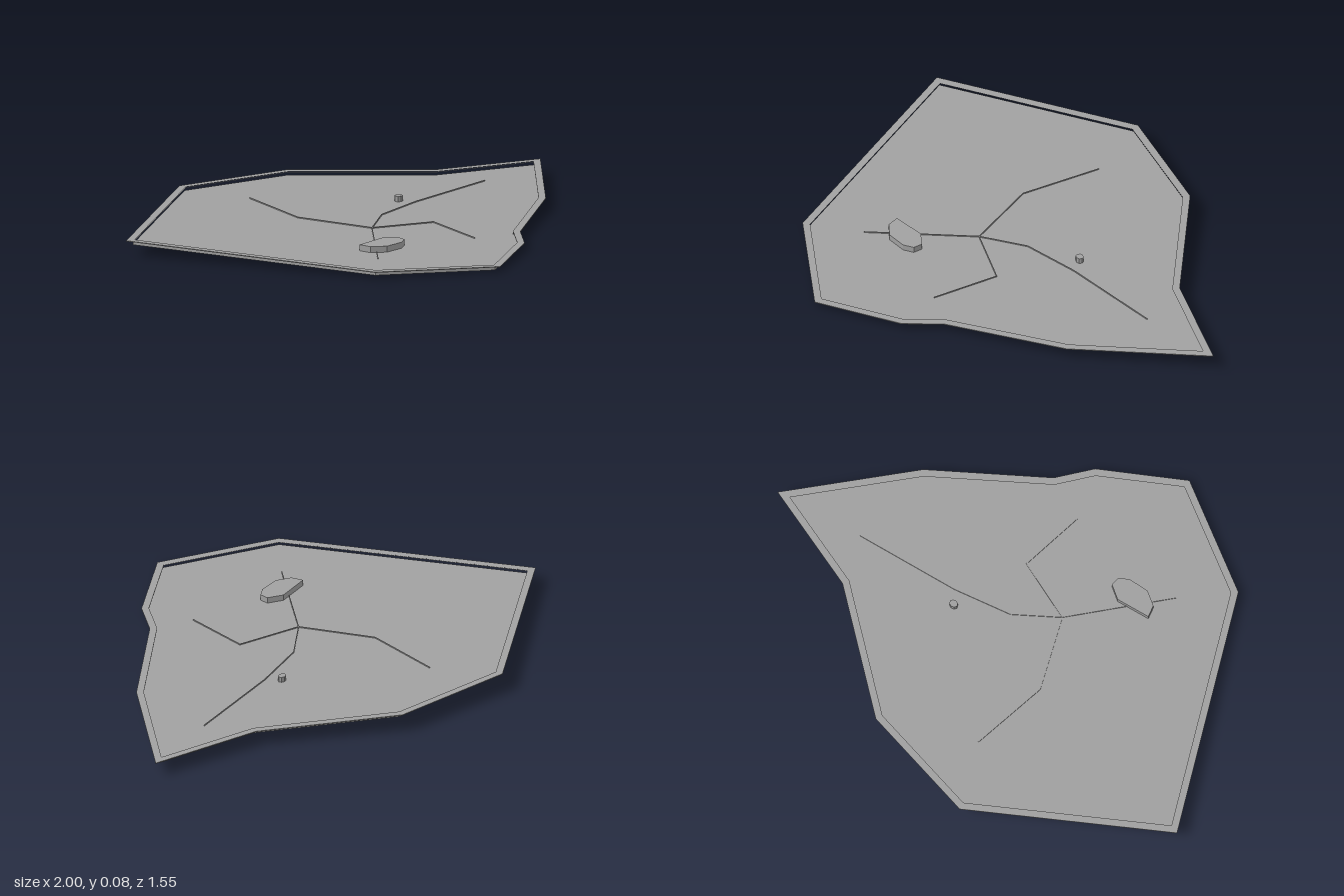
import * as THREE from 'three';

// Outline as seen from above: [x, z]
const OUTLINE = [
  [-0.34, -0.78], [0.13, -0.72], [0.58, -0.40], [1.0, -0.29], [0.66, 0.14],
  [0.28, 0.44], [0.19, 0.57], [-0.10, 0.77], [-0.53, 0.56], [-1.0, -0.31],
];
const ROCK = [[-0.35, 0.26], [-0.22, 0.235], [-0.165, 0.265], [-0.165, 0.30], [-0.20, 0.325], [-0.28, 0.335], [-0.335, 0.305]];

// Branching ridge lines on the floor
const RIDGES = [
  [[-0.21, -0.53], [-0.24, -0.22], [-0.11, 0.05], [-0.37, 0.39]],
  [[-0.11, 0.05], [0.04, -0.07], [0.26, -0.135], [0.66, -0.21]],
  [[-0.11, 0.05], [0.13, 0.12], [0.11, 0.38]],
];

const DEPTH = 0.019;
const FLOOR_TOP = -0.014;

// Moves every edge of a polygon inwards by t
function inset(points, t) {
  const n = points.length;
  const normal = (i) => {
    const a = points[i % n], b = points[(i + 1) % n];
    return new THREE.Vector2(a[1] - b[1], b[0] - a[0]).normalize();
  };
  return points.map(([x, z], i) => {
    const n1 = normal(i + n - 1), n2 = normal(i);
    const k = t / (1 + n1.dot(n2));
    return [x + (n1.x + n2.x) * k, z + (n1.y + n2.y) * k];
  });
}

// Gentle slope: the back lies higher than the front
function tilt(geometry) {
  const p = geometry.attributes.position;
  for (let i = 0; i < p.count; i++) p.setY(i, p.getY(i) + 0.047 - 0.0375 * p.getZ(i));
  geometry.computeVertexNormals();
  return geometry;
}

// Flat prism between two heights, with an optional hole
function slab(points, bottom, top, hole) {
  const vec = (list) => list.map(([x, z]) => new THREE.Vector2(x, -z));
  const shape = new THREE.Shape(vec(points));
  if (hole) shape.holes.push(new THREE.Path(vec(hole)));
  const g = new THREE.ExtrudeGeometry(shape, { depth: top - bottom, bevelEnabled: false });
  return tilt(g.rotateX(-Math.PI / 2).translate(0, bottom, 0));
}

export function createModel() {
  const group = new THREE.Group();
  const stone = new THREE.MeshStandardMaterial({ color: 0xa0a0a0 });
  stone.name = 'stone grey';

  const add = (name, geometry) => {
    const mesh = new THREE.Mesh(geometry, stone);
    mesh.name = name;
    group.add(mesh);
  };

  // Shallow tray: overhanging rim, wall and floor
  const outer = inset(OUTLINE, 0.022);
  const inner = inset(OUTLINE, 0.027);
  add('rim', slab(OUTLINE, -0.003, 0, inner));
  add('wall', slab(outer, FLOOR_TOP, -0.003, inner));
  add('floor', slab(outer, -DEPTH, FLOOR_TOP));

  // Flat rock and small pebble
  add('flatRock', slab(ROCK, FLOOR_TOP, 0.009));
  const pebble = [];
  for (let i = 0; i < 8; i++) {
    const a = (i / 8) * Math.PI * 2;
    pebble.push([0.22 + 0.017 * Math.cos(a), -0.185 + 0.014 * Math.sin(a)]);
  }
  add('pebble', slab(pebble, FLOOR_TOP, 0.007));

  // Fine ridges, one thin bar per segment
  for (const line of RIDGES) {
    for (let i = 0; i < line.length - 1; i++) {
      const [ax, az] = line[i], [bx, bz] = line[i + 1];
      const bar = new THREE.BoxGeometry(Math.hypot(bx - ax, bz - az), 0.005, 0.003);
      bar.rotateY(-Math.atan2(bz - az, bx - ax));
      bar.translate((ax + bx) / 2, FLOOR_TOP + 0.0015, (az + bz) / 2);
      add('ridge', tilt(bar));
    }
  }
  return group;
}
